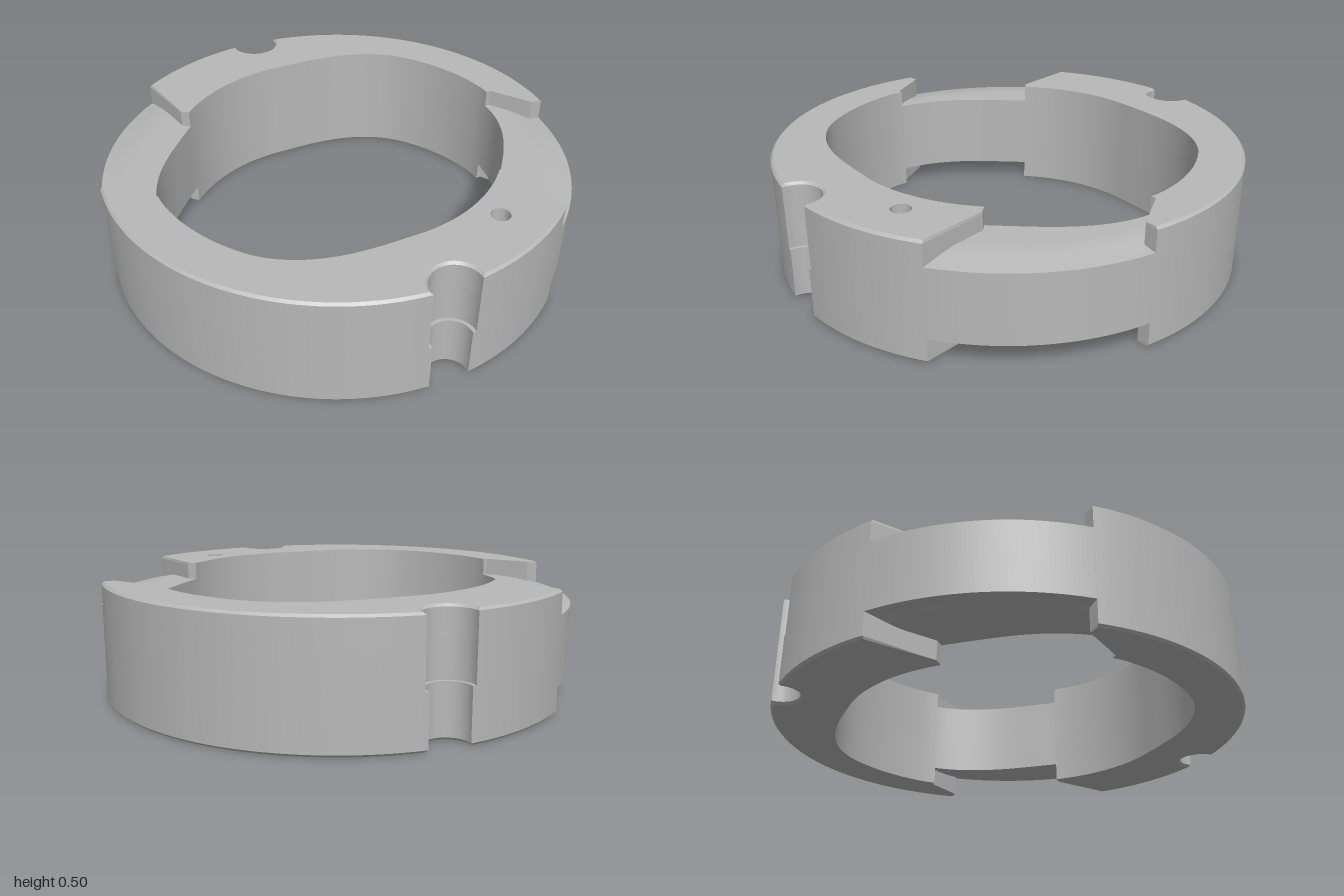
import * as THREE from 'three';
import { toCreasedNormals } from 'three/addons/utils/BufferGeometryUtils.js';

const H = 0.495, RAD = Math.PI / 180;
const SLOT = { angle: 115.3 * RAD, d: 0.984 };
const polar = (r, a) => new THREE.Vector2(r * Math.cos(a), r * Math.sin(a));

// Cam bore: wide along x, narrow along z, with smooth ramps between
function boreRadius(a) {
  const fold = Math.acos(Math.min(1, Math.abs(Math.cos(a)))) / RAD;
  return 0.81 - 0.11 * THREE.MathUtils.smoothstep(fold, 15, 65);
}

function arc(from, to, n, radius) {
  const pts = [];
  for (let i = 0; i <= n; i++) {
    const a = from + (to - from) * i / n;
    pts.push(polar(radius(a), a));
  }
  return pts;
}

// Half-round slot cut into the rim
function slotArc(R) {
  const { angle, d } = SLOT;
  const phi = Math.acos((1 + d * d - R * R) / (2 * d));
  const start = Math.atan2(Math.cos(phi) - d, Math.sin(phi));
  const er = polar(1, angle), et = polar(1, angle + Math.PI / 2), pts = [];
  for (let i = 0; i <= 24; i++) {
    const t = start + (-Math.PI - 2 * start) * i / 24;
    pts.push(er.clone().multiplyScalar(d + R * Math.sin(t)).addScaledVector(et, -R * Math.cos(t)));
  }
  return { phi, pts };
}

// Plan outline of one raised land, from one recess to the next
function landShape(R, withHole) {
  const { phi, pts } = slotArc(R), one = () => 1;
  const outline = [
    new THREE.Vector2(0.27, 0.69),
    ...arc(78.3 * RAD, SLOT.angle - phi, 30, one).slice(0, -1),
    ...pts,
    ...arc(SLOT.angle + phi, 210.7 * RAD, 60, one).slice(1),
    new THREE.Vector2(-0.81, -0.49),
    new THREE.Vector2(-0.775, -0.29),
    ...arc(200.6 * RAD, 68.7 * RAD, 80, boreRadius),
  ];
  const shape = new THREE.Shape(outline);
  if (withHole) shape.holes.push(new THREE.Path().absarc(0, 0.81, 0.04, 0, Math.PI * 2, true));
  return shape;
}

// One horizontal slice of a land; chamfer narrows the rim at height chamferY
function landLayer(y0, y1, R, withHole, chamferY) {
  const geo = new THREE.ExtrudeGeometry(landShape(R, withHole),
    { depth: y1 - y0, bevelEnabled: false, curveSegments: 24 });
  geo.rotateX(Math.PI / 2).translate(0, y1, 0);
  if (chamferY !== undefined) {
    const p = geo.attributes.position, c = polar(SLOT.d, SLOT.angle);
    for (let i = 0; i < p.count; i++) {
      if (Math.abs(p.getY(i) - chamferY) > 1e-4) continue;
      const v = new THREE.Vector2(p.getX(i), p.getZ(i));
      const onRim = v.length() > 0.9995;
      if (v.distanceTo(c) < R + 1e-3) v.sub(c).setLength(R + 0.01).add(c);
      if (onRim) v.setLength(0.99);
      p.setXYZ(i, v.x, p.getY(i), v.y);
    }
  }
  return toCreasedNormals(geo, 0.4);
}

// Thinner bridge below and above the recesses, its floors falling towards the rim
function bridgeGeometry() {
  const cols = 48, steps = 12, pos = [], index = [];
  const drop = r => 0.025 * THREE.MathUtils.smoothstep(r, 0.85, 1.04) / 0.885;
  const n = 2 * (steps + 1);
  for (let j = 0; j <= cols; j++) {
    const k = j / cols;
    const ai = THREE.MathUtils.lerp(18, 71.5, k) * RAD;
    const ao = THREE.MathUtils.lerp(28, 81, k) * RAD;
    const inner = polar(boreRadius(ai), ai), outer = polar(1, ao);
    for (let s = 0; s < n; s++) {
      const top = s <= steps;
      const q = inner.clone().lerp(outer, (top ? s : n - 1 - s) / steps);
      const d = drop(q.length());
      pos.push(q.x, top ? 0.42 - d : 0.08 + d, q.y);
    }
  }
  for (let j = 0; j < cols; j++) {
    for (let s = 0; s < n; s++) {
      const a = j * n + s, b = j * n + (s + 1) % n;
      index.push(a, a + n, b, b, a + n, b + n);
    }
  }
  const geo = new THREE.BufferGeometry();
  geo.setAttribute('position', new THREE.Float32BufferAttribute(pos, 3));
  geo.setIndex(index);
  return toCreasedNormals(geo, 0.5);
}

export function createModel() {
  const model = new THREE.Group();
  model.name = 'camRing';
  const steel = new THREE.MeshStandardMaterial({ color: 0xb8b8b8 });
  steel.name = 'steelGrey';

  for (const side of ['front', 'back']) {
    const half = new THREE.Group();
    half.name = side + 'Half';
    const add = (name, geo) => {
      const mesh = new THREE.Mesh(geo, steel);
      mesh.name = name;
      half.add(mesh);
    };
    const hole = side === 'front'; // blind dowel hole in the front land only
    add('landBottomEdge', landLayer(0, 0.01, 0.087, false, 0));
    add('landLower', landLayer(0.01, 0.22, 0.087, false));
    add('landMiddle', landLayer(0.22, 0.38, 0.102, false));
    add('landUpper', landLayer(0.38, H - 0.01, 0.102, hole));
    add('landTopEdge', landLayer(H - 0.01, H, 0.102, hole, H));
    add('recessBridge', bridgeGeometry());
    if (side === 'back') half.rotation.y = Math.PI;
    model.add(half);
  }
  return model;
}
